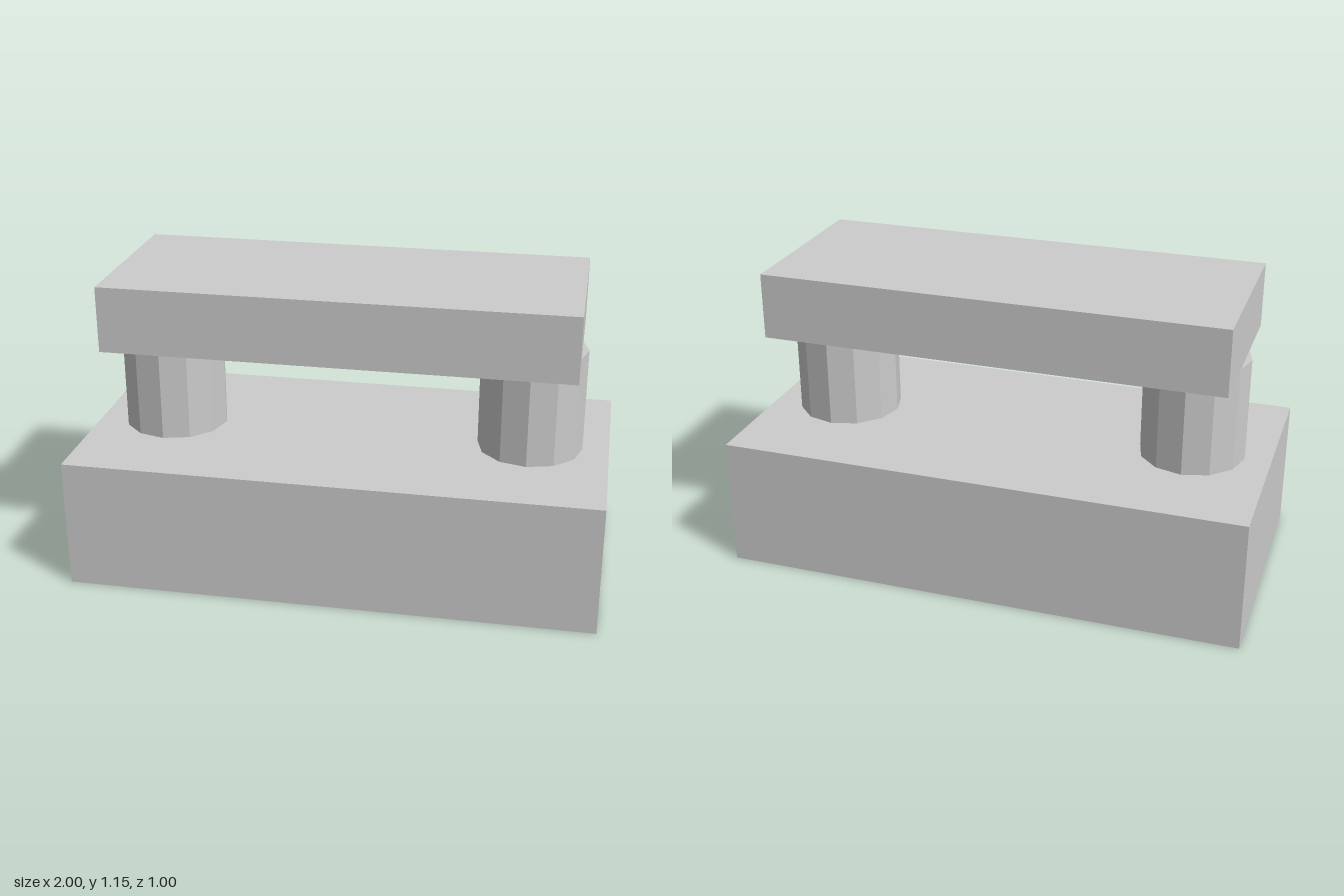
import * as THREE from 'three';

export function createModel() {
  const model = new THREE.Group();
  const grey = new THREE.MeshStandardMaterial({ color: 0xcccccc, flatShading: true });
  grey.name = 'light grey';

  const add = (name, geometry, x, y) => {
    const mesh = new THREE.Mesh(geometry, grey);
    mesh.name = name;
    mesh.position.set(x, y, 0);
    model.add(mesh);
  };

  // Heavy base block and the bar resting on the posts
  add('base', new THREE.BoxGeometry(2, 0.5, 1), 0, 0.25);
  add('topBar', new THREE.BoxGeometry(1.75, 0.25, 0.7), 0, 1.025);

  // Twelve-sided posts, one at each end
  const post = new THREE.CylinderGeometry(0.2, 0.2, 0.4, 12);
  add('leftPost', post, 0.7, 0.7);
  add('rightPost', post, -0.7, 0.7);

  return model;
}
